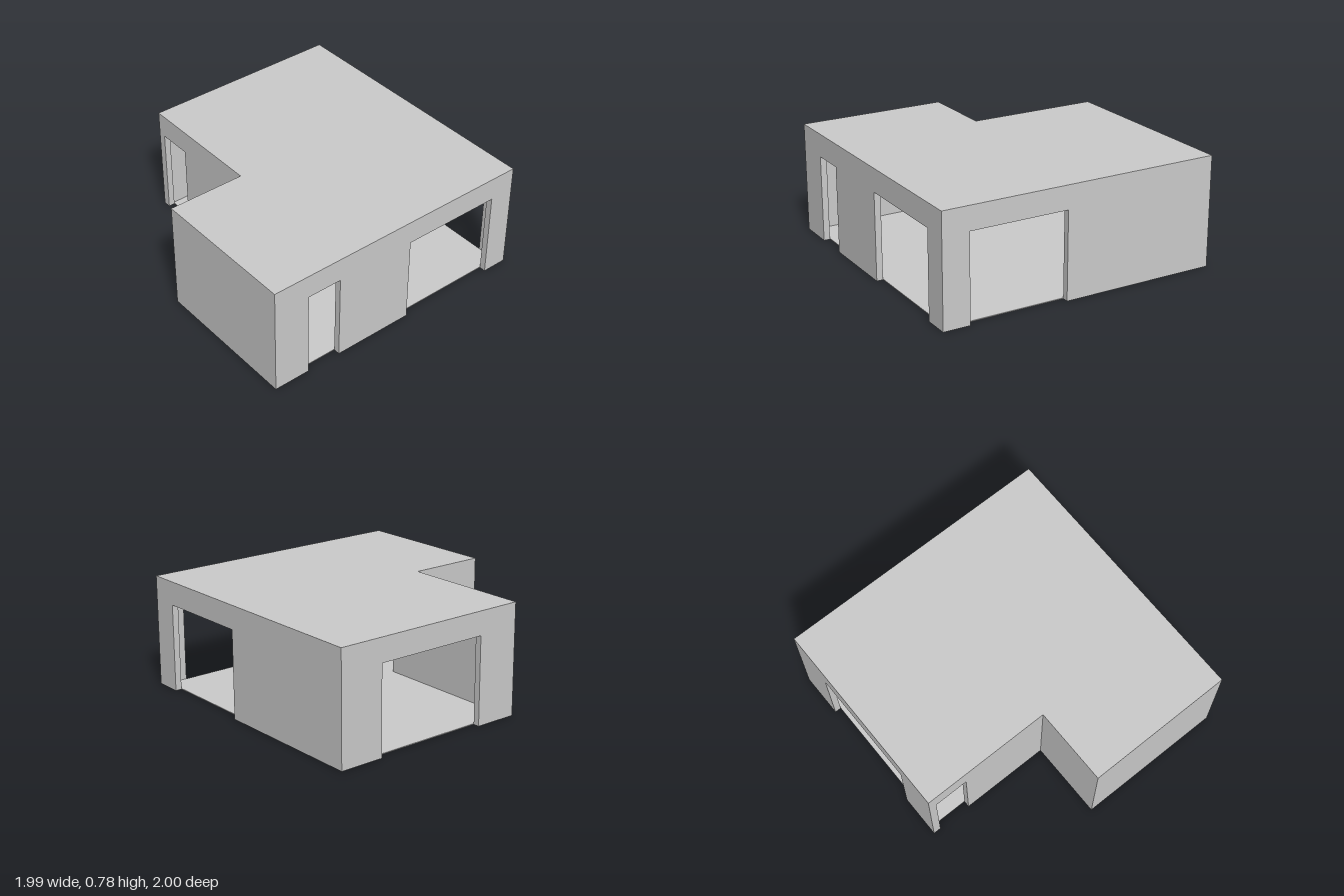
import * as THREE from 'three';

const T = 0.045;      // wall thickness
const H = 0.78;       // total height
const SLAB = 0.006;   // floor and roof thickness
const HEAD = 0.615;   // top of the openings
const X0 = -1, X1 = 0.99, XN = -0.45;   // outer plan, XN and ZN mark the notch
const Z0 = -1, Z1 = 1, ZN = -0.06;

const material = new THREE.MeshStandardMaterial({ color: 0xcccccc, flatShading: true });

function add(group, name, geometry) {
  const mesh = new THREE.Mesh(geometry, material);
  mesh.name = name;
  group.add(mesh);
}

// Straight wall along x or z, its lower face at 'at', with doorways cut up from the ground
function wall(group, name, axis, from, to, at, openings = []) {
  const shape = new THREE.Shape();
  shape.moveTo(from, 0);
  for (const [a, b] of openings) {
    shape.lineTo(a, 0);
    shape.lineTo(a, HEAD);
    shape.lineTo(b, HEAD);
    shape.lineTo(b, 0);
  }
  shape.lineTo(to, 0);
  shape.lineTo(to, H - SLAB);
  shape.lineTo(from, H - SLAB);
  const geometry = new THREE.ExtrudeGeometry(shape, { depth: T, bevelEnabled: false });
  if (axis === 'x') geometry.translate(0, 0, at);
  else geometry.rotateY(-Math.PI / 2).translate(at + T, 0, 0);
  add(group, name, geometry);
}

// Thin L-shaped slab, inset from the outer plan
function slab(group, name, inset, y) {
  const i = inset;
  const plan = [
    [X0 + i, Z1 - i], [X1 - i, Z1 - i], [X1 - i, Z0 + i],
    [XN + i, Z0 + i], [XN + i, ZN + i], [X0 + i, ZN + i],
  ];
  const shape = new THREE.Shape(plan.map(([x, z]) => new THREE.Vector2(x, -z)));
  const geometry = new THREE.ExtrudeGeometry(shape, { depth: SLAB, bevelEnabled: false });
  add(group, name, geometry.rotateX(-Math.PI / 2).translate(0, y, 0));
}

export function createModel() {
  const group = new THREE.Group();
  group.name = 'house';

  slab(group, 'floor', T, 0);
  slab(group, 'roof', 0, H - SLAB);

  // Walls running along x
  wall(group, 'frontWall', 'x', X0, X1, Z1 - T, [[-0.74, -0.49], [0.09, 0.81]]);
  wall(group, 'backWall', 'x', XN, X1, Z0, [[-0.145, 0.675]]);
  wall(group, 'notchBackWall', 'x', X0, XN, ZN);

  // Walls running along z
  wall(group, 'leftWall', 'z', Z0 + T, Z1 - T, X1 - T, [[0.11, 0.81]]);
  wall(group, 'rightWall', 'z', ZN + T, Z1 - T, X0);
  // The notch wall carries on into the room as a short partition
  wall(group, 'notchSideWall', 'z', Z0 + T, 0.14, XN, [[-0.945, -0.7]]);

  return group;
}
